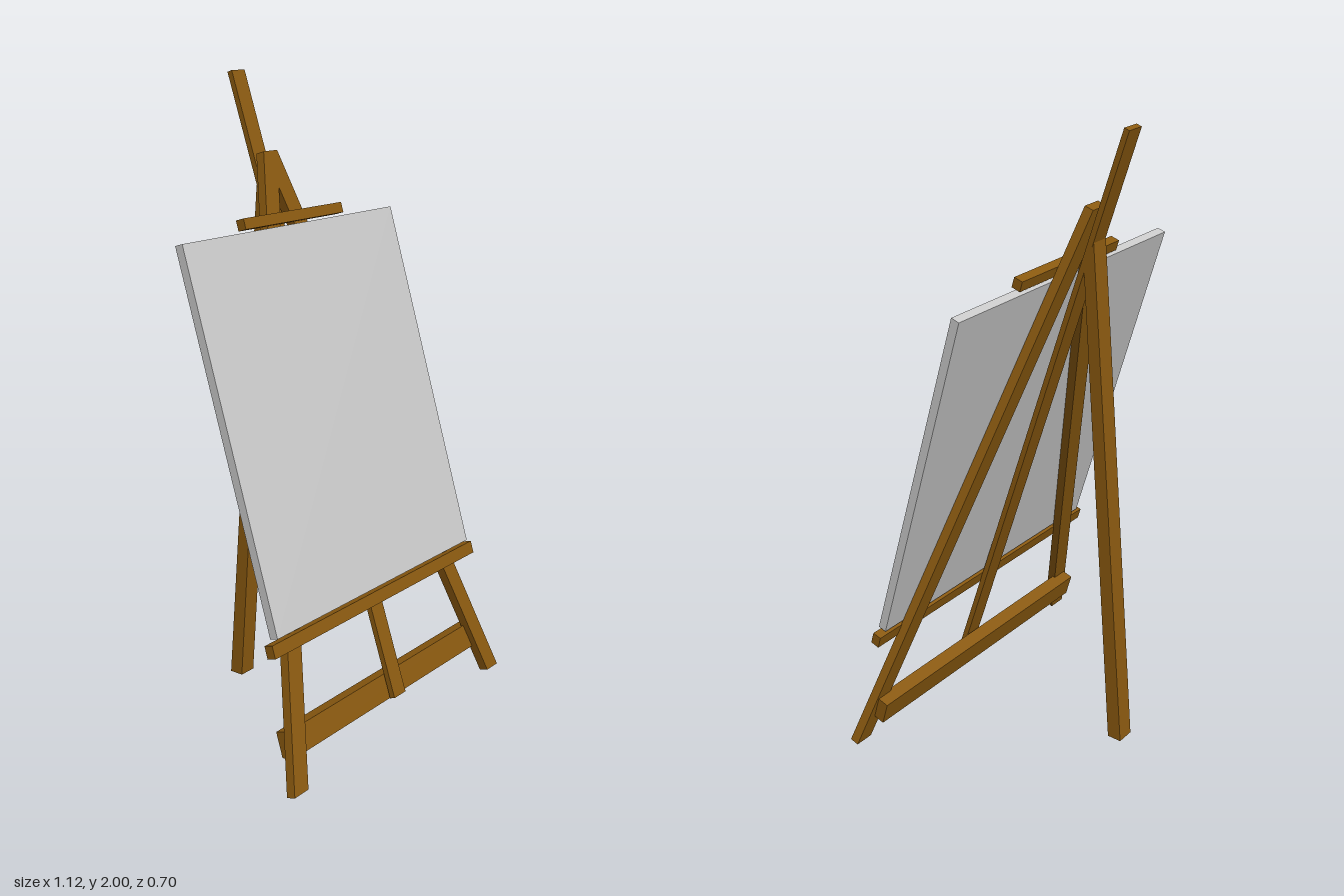
import * as THREE from 'three';

const wood = new THREE.MeshStandardMaterial({ color: 0x8b5a10 });
const grey = new THREE.MeshStandardMaterial({ color: 0xcccccc });
const TILT = 0.293; // backward lean of the front frame

export function createModel() {
  const easel = new THREE.Group();
  easel.name = 'easel';

  const add = (name, geometry, material = wood) => {
    const mesh = new THREE.Mesh(geometry, material);
    mesh.name = name;
    easel.add(mesh);
    return mesh;
  };

  // Box leaning back, centred at height y and depth z
  const leaningBox = (name, w, h, d, y, z, tilt = TILT, material = wood) => {
    const mesh = add(name, new THREE.BoxGeometry(w, h, d), material);
    mesh.position.set(0, y, z);
    mesh.rotation.x = -tilt;
  };

  // Outline extruded symmetrically about its own plane
  const slab = (points, depth) => {
    const shape = new THREE.Shape(points.map(([x, y]) => new THREE.Vector2(x, y)));
    return new THREE.ExtrudeGeometry(shape, { depth, bevelEnabled: false })
      .translate(0, 0, -depth / 2);
  };

  // Two splayed front legs, mitred together at the apex
  const top = 1.833, notch = 1.72;
  for (const s of [1, -1]) {
    const outline = [[0.495, 0], [0.558, 0], [0.032, top], [0, top], [0, notch]];
    const leg = add(s > 0 ? 'leftFrontLeg' : 'rightFrontLeg',
      slab(outline.map(([x, y]) => [s * x, y]), 0.03));
    leg.position.set(0, 0.0045, 0.333);
    leg.rotation.x = -TILT;
  }

  // Back leg, cut at the top to rest against the mast
  const backLeg = add('backLeg',
    slab([[0.302, 0], [0.35, 0], [0.213, 1.66], [0.18, 1.58]], 0.06));
  backLeg.rotation.y = Math.PI / 2; // outline x runs towards the back

  // Central mast, leaning a little more than the legs
  leaningBox('mast', 0.06, 1.998, 0.018, 1.05, 0.001, 0.322);

  // Cross pieces
  leaningBox('crossbar', 1.0, 0.08, 0.046, 0.125, 0.2665);
  leaningBox('ledge', 1.06, 0.04, 0.03, 0.418, 0.237);
  leaningBox('topClamp', 0.475, 0.033, 0.03, 1.571, -0.1);

  // Canvas resting on the ledge
  leaningBox('canvas', 1.01, 1.146, 0.028, 0.997, 0.066, TILT, grey);

  return easel;
}
